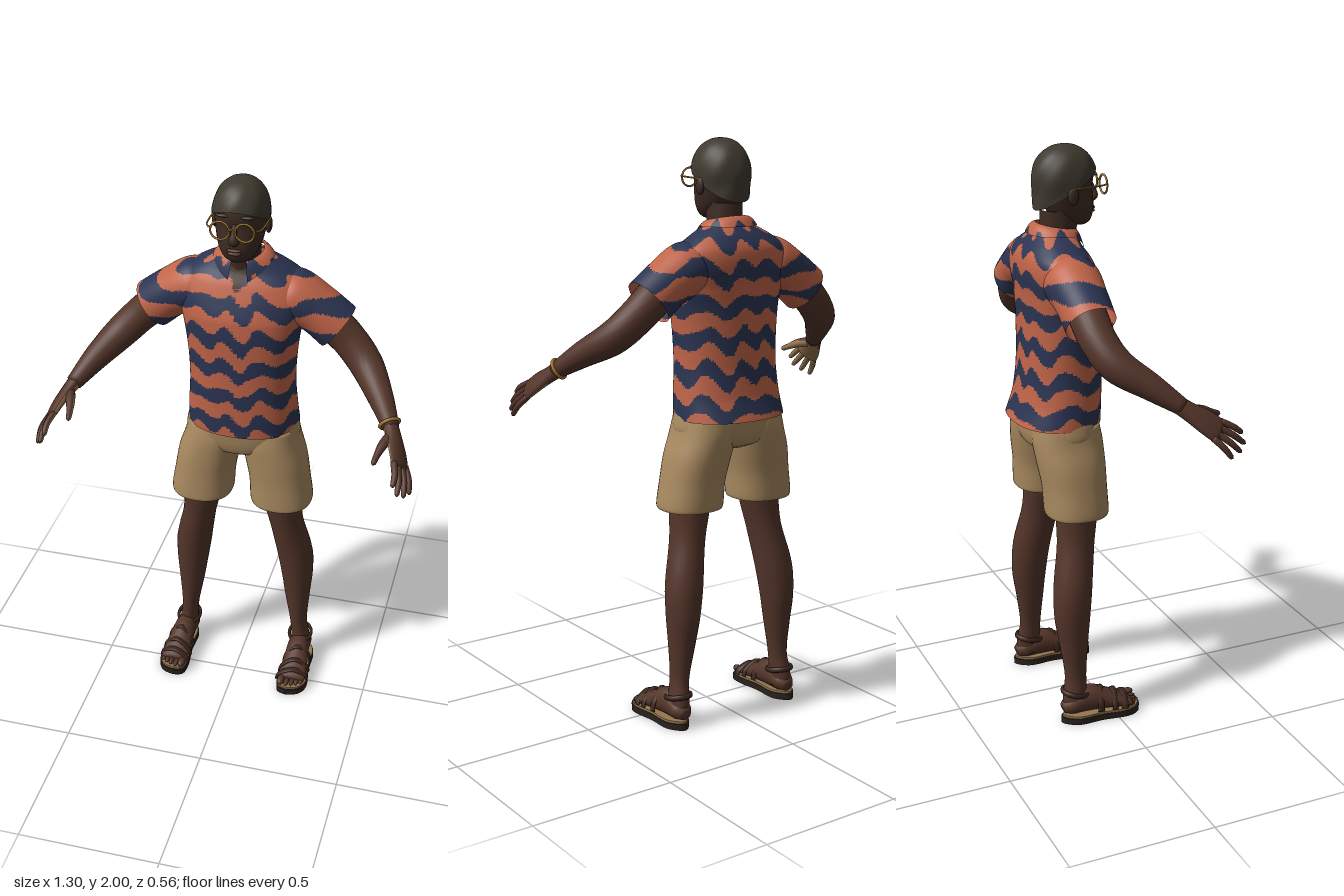
import * as THREE from 'three';

const V = (x, y, z) => new THREE.Vector3(x, y, z);
const TAU = Math.PI * 2;

export function createModel() {
  const root = new THREE.Group();
  const mat = (name, color, side = THREE.FrontSide) => {
    const m = new THREE.MeshStandardMaterial({ color, side });
    m.name = name;
    return m;
  };
  const skin = mat('skin', 0x54352a), faceSkin = mat('face skin', 0x3e2b22);
  const palm = mat('palm skin', 0x97774f), hair = mat('hair', 0x3f3a2f, THREE.DoubleSide);
  const navy = mat('navy cloth', 0x2b3452, THREE.DoubleSide);
  const coral = mat('coral cloth', 0xc06448, THREE.DoubleSide);
  const khaki = mat('khaki cloth', 0xa98a60, THREE.DoubleSide);
  const gold = mat('gold', 0xa07428), sole = mat('sole', 0x28211e), leather = mat('leather', 0x3b261e);

  const add = (name, geo, material, parent = root) => {
    const m = new THREE.Mesh(geo, material);
    m.name = name;
    parent.add(m);
    return m;
  };
  const group = (name) => {
    const g = new THREE.Group();
    g.name = name;
    root.add(g);
    return g;
  };

  // Skin a list of rings; optional end caps
  function grid(rings, { closed = true, capA = false, capB = false } = {}) {
    const n = rings[0].length, pos = [], idx = [];
    rings.forEach(r => r.forEach(p => pos.push(p.x, p.y, p.z)));
    const cols = closed ? n : n - 1;
    for (let i = 0; i < rings.length - 1; i++) for (let j = 0; j < cols; j++) {
      const a = i * n + j, b = i * n + (j + 1) % n;
      idx.push(a, a + n, b, b, a + n, b + n);
    }
    const cap = (row, flip) => {
      const c = rings[row].reduce((s, p) => s.add(p), V(0, 0, 0)).divideScalar(n), k = pos.length / 3;
      pos.push(c.x, c.y, c.z);
      for (let j = 0; j < n; j++) {
        const a = row * n + j, b = row * n + (j + 1) % n;
        flip ? idx.push(k, b, a) : idx.push(k, a, b);
      }
    };
    if (capA) cap(0, false);
    if (capB) cap(rings.length - 1, true);
    const g = new THREE.BufferGeometry();
    g.setAttribute('position', new THREE.Float32BufferAttribute(pos, 3));
    g.setIndex(idx);
    g.computeVertexNormals();
    return g;
  }

  // Upright body from rows [y, centreX, halfWidth, frontZ, backZ], bottom to top
  function stack(rows, { seg = 32, steps = 24, pow = 1, ...caps } = {}) {
    const A = new THREE.CatmullRomCurve3(rows.map(r => V(r[0], r[1], r[2])));
    const B = new THREE.CatmullRomCurve3(rows.map(r => V(r[3], r[4], 0)));
    const sp = v => Math.sign(v) * Math.abs(v) ** pow;
    return grid(Array.from({ length: steps + 1 }, (_, i) => {
      const a = A.getPoint(i / steps), b = B.getPoint(i / steps);
      return Array.from({ length: seg }, (_, j) => {
        const t = j / seg * TAU;
        return V(a.y + a.z * sp(Math.cos(t)), a.x, (b.x + b.y) / 2 + (b.x - b.y) / 2 * sp(Math.sin(t)));
      });
    }), caps);
  }

  // Tube along points [x, y, z, radiusAlongRef, otherRadius]
  function tube(pts, { ref = V(1, 0, 0), seg = 16, steps = 20, capA = true, capB = true } = {}) {
    const P = new THREE.CatmullRomCurve3(pts.map(p => V(p[0], p[1], p[2])));
    const R = new THREE.CatmullRomCurve3(pts.map((p, i) => V(p[3], p[4] ?? p[3], i * 0.01)));
    return grid(Array.from({ length: steps + 1 }, (_, i) => {
      const t = i / steps, c = P.getPoint(t), T = P.getTangent(t), r = R.getPoint(t);
      const n1 = ref.clone().addScaledVector(T, -ref.dot(T)).normalize(), n2 = n1.clone().cross(T);
      return Array.from({ length: seg }, (_, j) => c.clone()
        .addScaledVector(n1, r.x * Math.cos(j / seg * TAU)).addScaledVector(n2, r.y * Math.sin(j / seg * TAU)));
    }), { capA, capB });
  }

  // Sort faces into material groups by centre and normal
  function paint(geo, pick) {
    const p = geo.attributes.position, idx = geo.index.array, sets = [[], [], []];
    const tri = new THREE.Triangle(), c = V(0, 0, 0), n = V(0, 0, 0);
    for (let i = 0; i < idx.length; i += 3) {
      tri.setFromAttributeAndIndices(p, idx[i], idx[i + 1], idx[i + 2]);
      sets[pick(tri.getMidpoint(c), tri.getNormal(n))].push(idx[i], idx[i + 1], idx[i + 2]);
    }
    geo.setIndex(sets.flat());
    let start = 0;
    sets.forEach((s, i) => { if (s.length) geo.addGroup(start, s.length, i); start += s.length; });
    return geo;
  }
  const ball = (x, y, z, rx, ry, rz) => new THREE.SphereGeometry(1, 20, 14).scale(rx, ry, rz).translate(x, y, z);

  // Shirt: wavy two-colour bands, with an open neck
  const cloth = [coral, navy, faceSkin];
  const bands = c => {
    const a = Math.atan2(c.x, c.z + 0.11);
    const f = Math.cos(TAU * (c.y - 1.345) / 0.113 + 0.9 * Math.sin(8 * a) + 0.5 * Math.sin(5 * a + 1))
      + 0.45 * Math.sin(9 * a + 40 * c.y) + 0.35 * Math.sin(38 * c.x + 1) * (Math.abs(c.x) > 0.2 ? 1 : 0);
    return f > 0.03 ? 1 : 0;
  };
  const torso = stack([
    [1.075, 0, 0.196, 0.02, -0.28], [1.15, 0, 0.191, 0.022, -0.253], [1.25, 0, 0.184, 0.025, -0.24],
    [1.35, 0, 0.187, 0.027, -0.237], [1.45, 0, 0.198, 0.03, -0.236], [1.52, 0, 0.212, 0.026, -0.24],
    [1.59, 0, 0.225, 0.002, -0.247], [1.64, 0, 0.208, -0.02, -0.243], [1.68, 0, 0.155, -0.045, -0.222],
    [1.71, 0, 0.1, -0.055, -0.198], [1.73, 0, 0.068, -0.06, -0.18]],
  { seg: 128, steps: 110, pow: 0.88, capB: true });
  const shirt = group('shirt');
  add('shirtBody', paint(torso, c =>
    c.z > -0.1 && Math.abs(c.x) < (c.y - 1.61) * 0.42 ? 2 : bands(c)), cloth, shirt);
  const collar = Array.from({ length: 9 }, (_, i) => Array.from({ length: 73 }, (_, j) => {
    const t = i / 8, th = Math.PI / 2 + 0.32 + (TAU - 0.64) * j / 72, s = Math.sin(th);
    const top = 1.75 - 0.0125 * (s + 1), low = 1.715 - 0.062 * Math.max(0, s) ** 2;
    return V((0.066 + 0.036 * t) * Math.cos(th), top + (low - top) * t * t, -0.118 + (0.064 + 0.032 * t) * s);
  }));
  add('collar', paint(grid(collar, { closed: false }), bands), cloth, shirt);

  // Shorts
  const shorts = group('shorts');
  add('shortsSeat', stack([[0.965, 0, 0.06, -0.05, -0.18], [0.99, 0, 0.15, -0.01, -0.23],
    [1.03, 0, 0.2, 0.002, -0.243], [1.08, 0, 0.197, 0.008, -0.245], [1.13, 0, 0.18, 0.005, -0.235]],
  { seg: 48, pow: 0.88, capA: true }), khaki, shorts);

  // Head and neck
  const head = group('head');
  add('neck', stack([[1.6, 0, 0.07, -0.05, -0.18], [1.7, 0, 0.06, -0.047, -0.17], [1.79, 0, 0.06, -0.03, -0.165]]),
    faceSkin, head);
  add('skull', stack([[1.735, 0, 0.028, -0.008, -0.06], [1.748, 0, 0.05, 0.005, -0.1], [1.78, 0, 0.069, 0.014, -0.14],
    [1.82, 0, 0.079, 0.013, -0.16], [1.86, 0, 0.085, 0.008, -0.17], [1.9, 0, 0.087, 0.013, -0.175],
    [1.95, 0, 0.078, 0, -0.165], [1.985, 0, 0.045, -0.03, -0.13]], { pow: 0.92, capA: true, capB: true }), faceSkin, head);
  add('nose', tube([[0, 1.875, 0.006, 0.008], [0, 1.845, 0.018, 0.011], [0, 1.822, 0.023, 0.018, 0.013],
    [0, 1.808, 0.012, 0.012, 0.008]]), faceSkin, head);
  add('upperLip', ball(0, 1.787, 0.014, 0.026, 0.006, 0.009), skin, head);
  add('lowerLip', ball(0, 1.776, 0.014, 0.023, 0.007, 0.009), skin, head);
  // Hair: a cap whose edge drops from forehead to nape
  const cap = Array.from({ length: 17 }, (_, i) => Array.from({ length: 40 }, (_, j) => {
    const th = j / 40 * TAU, s = Math.sin(th);
    const e0 = Math.asin((1.86 + (s > 0 ? 0.062 : 0.068) * s - 1.885) / 0.115);
    const e = e0 + (Math.PI / 2 - 0.02 - e0) * i / 16, r = Math.cos(Math.max(e, -0.3)) ** 0.9;
    const w = 1 + 0.012 * Math.sin(7 * th + 5 * e);
    return V(0.095 * r * w * Math.cos(th), 1.885 + 0.115 * Math.sin(e), -0.083 + 0.111 * r * w * s);
  }));
  add('hair', grid(cap, { capB: true }), hair, head);

  // Glasses
  const glasses = group('glasses');
  add('bridge', tube([[-0.01, 1.87, 0.041, 0.003], [0, 1.875, 0.044, 0.003], [0.01, 1.87, 0.041, 0.003]],
    { ref: V(0, 1, 0), seg: 8 }), gold, glasses);

  for (const s of [1, -1]) {
    const side = s > 0 ? 'left' : 'right';
    const mx = pts => pts.map(([x, ...r]) => [x * s, ...r]);

    // Face details
    add(side + 'Ear', ball(s * 0.089, 1.845, -0.088, 0.011, 0.03, 0.019), faceSkin, head);
    add(side + 'Brow', ball(s * 0.04, 1.902, 0.006, 0.024, 0.005, 0.008), hair, head);
    add(side + 'Rim', new THREE.TorusGeometry(0.031, 0.0035, 8, 32).translate(s * 0.041, 1.866, 0.04), gold, glasses);
    add(side + 'Temple', tube(mx([[0.072, 1.872, 0.038, 0.003], [0.088, 1.872, 0.02, 0.003], [0.094, 1.868, -0.09, 0.003]]),
      { ref: V(0, 1, 0), seg: 8 }), gold, glasses);

    // Sleeve
    add(side + 'Sleeve', paint(tube(mx([[0.1, 1.6, -0.125, 0.06, 0.07], [0.17, 1.58, -0.127, 0.092, 0.096],
      [0.25, 1.538, -0.128, 0.084, 0.088], [0.322, 1.482, -0.128, 0.086, 0.084]]),
    { ref: V(0, 0, 1).cross(V(0.63 * s, -0.77, 0)), seg: 64, steps: 44, capA: false, capB: false }), bands), cloth, shirt);

    // Arm
    const arm = group(side + 'Arm');
    add(side + 'Forearm', tube(mx([[0.2, 1.575, -0.125, 0.06], [0.3, 1.495, -0.126, 0.063], [0.365, 1.437, -0.12, 0.06],
      [0.428, 1.375, -0.088, 0.057], [0.495, 1.312, 0, 0.044], [0.55, 1.25, 0.085, 0.028]]),
    { ref: V(0, 1, 0), seg: 24, steps: 30 }), skin, arm);

    // Hand: flat palm, four fingers and a thumb, paler on the inside
    const W = V(0.05 * s, -0.06, -0.065).normalize(), inward = V(-0.79 * s, -0.6, -0.05);
    const hand = group(side + 'Hand');
    const flesh = (name, pts, steps) => add(name, paint(tube(pts, { ref: W, seg: 14, steps }),
      (c, n) => n.dot(inward) > 0.35 ? 1 : 0), [skin, palm], hand);
    flesh(side + 'Palm', mx([[0.54, 1.262, 0.068, 0.028, 0.026], [0.562, 1.235, 0.105, 0.033, 0.022],
      [0.585, 1.203, 0.15, 0.043, 0.018], [0.6, 1.175, 0.185, 0.044, 0.014], [0.604, 1.168, 0.195, 0.036, 0.008]]), 16);
    [[0.595, 1.15, 0.28], [0.611, 1.118, 0.282], [0.63, 1.099, 0.258], [0.643, 1.088, 0.22]].forEach((t, k) => {
      const base = V(0.599 * s, 1.177, 0.183).addScaledVector(W, (k - 1.5) * 0.022);
      const tip = V(t[0] * s, t[1], t[2]), mid = base.clone().lerp(tip, 0.55).addScaledVector(inward, -0.006);
      const near = base.clone().lerp(tip, 0.93);
      flesh(side + 'Finger' + (k + 1), [[...base, 0.011], [...mid, 0.0105], [...near, 0.008], [...tip, 0.002]], 12);
    });
    flesh(side + 'Thumb', mx([[0.556, 1.238, 0.11, 0.018], [0.537, 1.226, 0.16, 0.016], [0.526, 1.21, 0.2, 0.011],
      [0.521, 1.199, 0.228, 0.009], [0.519, 1.195, 0.236, 0.002]]), 14);
    if (s > 0) {
      const b = add('bracelet', new THREE.TorusGeometry(0.033, 0.006, 8, 32), gold, arm);
      b.position.set(0.543, 1.258, 0.075);
      b.quaternion.setFromUnitVectors(V(0, 0, 1), V(0.46, -0.51, 0.72).normalize());
    }

    // Shorts leg
    add(side + 'ShortsLeg', stack([[0.766, s * 0.146, 0.108, 0, -0.212], [0.775, s * 0.146, 0.111, 0.002, -0.214],
      [0.86, s * 0.137, 0.108, 0, -0.218], [0.95, s * 0.12, 0.109, 0.001, -0.232],
      [1.02, s * 0.102, 0.104, 0, -0.24], [1.08, s * 0.095, 0.098, -0.01, -0.235]],
    { seg: 40, pow: 0.88, capB: true }), khaki, shorts);

    // Leg
    add(side + 'Leg', tube(mx([[0.135, 0.95, -0.11, 0.08, 0.085], [0.148, 0.77, -0.107, 0.07, 0.074],
      [0.165, 0.65, -0.117, 0.06, 0.066], [0.194, 0.5, -0.14, 0.065, 0.068], [0.203, 0.4, -0.146, 0.058, 0.064],
      [0.207, 0.3, -0.143, 0.046, 0.052], [0.215, 0.17, -0.14, 0.031, 0.039], [0.222, 0.1, -0.145, 0.034, 0.044],
      [0.225, 0.05, -0.145, 0.036, 0.046]]), { seg: 24, steps: 40 }), skin);

    // Foot
    const foot = group(side + 'Foot');
    add(side + 'FootBody', tube(mx([[0.225, 0.05, -0.193, 0.02, 0.018], [0.225, 0.06, -0.165, 0.038, 0.034],
      [0.226, 0.075, -0.1, 0.041, 0.049], [0.229, 0.062, -0.035, 0.046, 0.036], [0.231, 0.047, 0.025, 0.051, 0.022],
      [0.231, 0.04, 0.055, 0.049, 0.014]]), { seg: 20 }), skin, foot);
    [0.195, 0.217, 0.236, 0.253, 0.269].forEach((x, k) => {
      const r = k ? 0.009 : 0.014;
      add(side + 'Toe' + (k + 1), ball(s * x, 0.028 + r, 0.068 - k * k * 0.0015, r, r, 0.024), skin, foot);
    });

    // Sandal: sole, pale footbed and straps
    const sandal = group(side + 'Sandal');
    const slab = (name, k, top, depth, m) => {
      const outline = new THREE.Shape();
      const pts = [[-0.01, 0.1], [0.035, 0.083], [0.057, 0.035], [0.046, -0.06], [0.043, -0.15], [0, -0.2],
        [-0.043, -0.15], [-0.043, -0.06], [-0.053, 0.03], [-0.046, 0.085]]
        .map(([x, z]) => new THREE.Vector2(x * s * k, (z + 0.05) * k - 0.05));
      outline.moveTo(pts[0].x, pts[0].y).splineThru([...pts.slice(1), pts[0]]);
      const g = new THREE.ExtrudeGeometry(outline, { depth, bevelEnabled: false, curveSegments: 40 });
      add(name, g.rotateX(Math.PI / 2).translate(s * 0.231, top, 0), m, sandal);
    };
    slab(side + 'Sole', 1, 0.023, 0.023, sole);
    slab(side + 'Footbed', 0.96, 0.031, 0.008, palm);
    [[0.035, 0.056, 0.072, 0.013], [-0.002, 0.054, 0.09, 0.011], [-0.055, 0.049, 0.112, 0.012]].forEach(([z, w, h, r], k) =>
      add(side + 'Strap' + (k + 1), tube([-1, -0.85, 0, 0.85, 1].map(u =>
        [s * 0.23 + u * w, 0.025 + (h - 0.025) * Math.sqrt(1 - u * u * 0.98), z - 0.012 * s * u, r, 0.005]),
      { ref: V(0, 0, 1), seg: 10 }), leather, sandal));
    add(side + 'AnkleStrap', new THREE.TorusGeometry(0.042, 0.006, 8, 32).scale(1, 1.15, 1.6)
      .rotateX(Math.PI / 2 + 0.2).translate(s * 0.222, 0.108, -0.143), leather, sandal);
  }
  return root;
}
